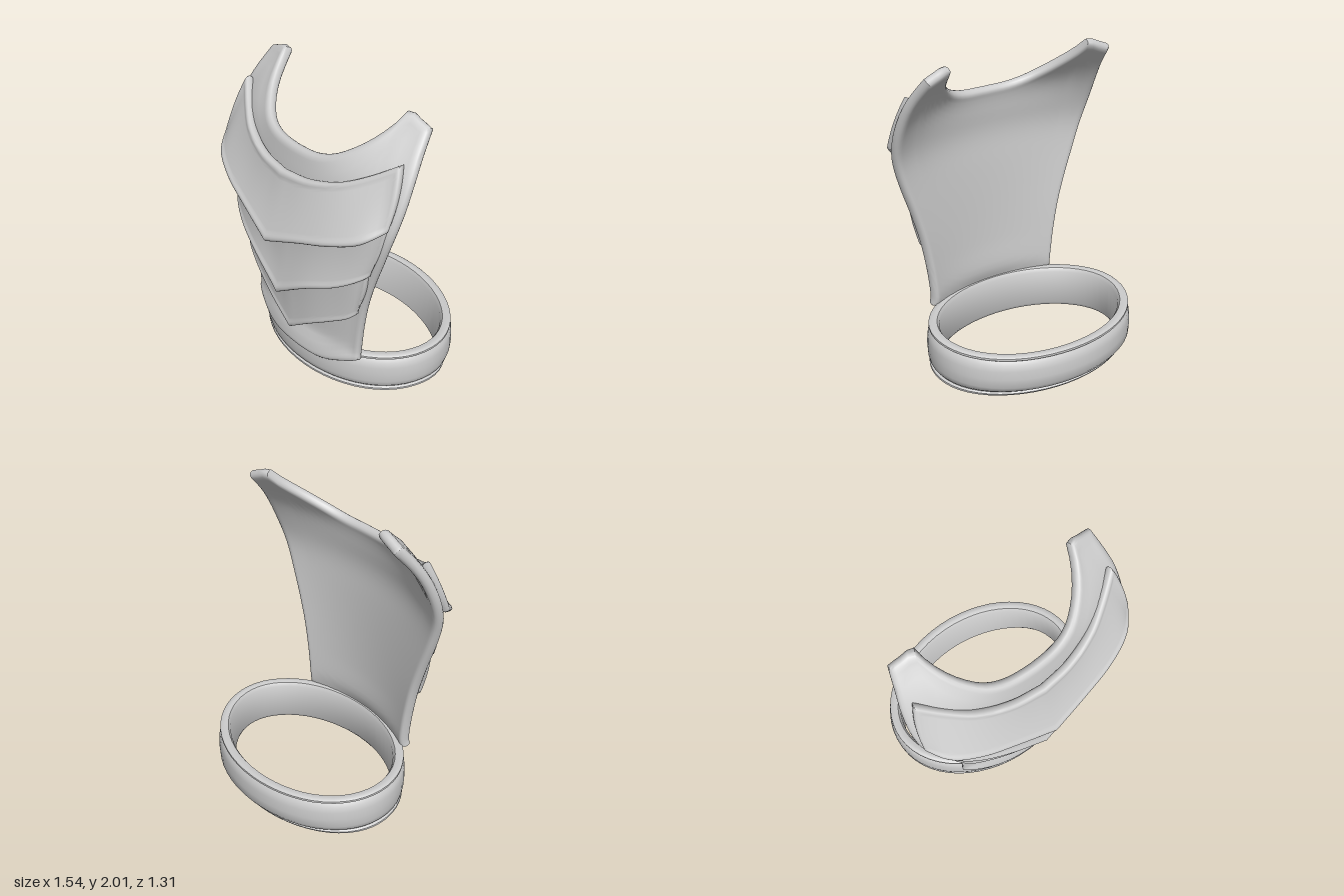
import * as THREE from 'three';
import { mergeVertices, toCreasedNormals } from 'three/addons/utils/BufferGeometryUtils.js';

const material = new THREE.MeshStandardMaterial({ color: 0xcccccc, side: THREE.DoubleSide });

// Smooth lookup in a list of [key, value] pairs
function lookup(table, k) {
  const n = table.length - 1;
  k = Math.min(Math.max(k, table[0][0]), table[n][0]);
  let i = 0;
  while (i < n - 1 && k > table[i + 1][0]) i++;
  const slope = (j) => {
    const a = table[Math.max(j - 1, 0)], b = table[Math.min(j + 1, n)];
    return (b[1] - a[1]) / (b[0] - a[0]);
  };
  const [x0, y0] = table[i], [x1, y1] = table[i + 1];
  const h = x1 - x0, t = (k - x0) / h, t2 = t * t, t3 = t2 * t;
  return y0 * (2 * t3 - 3 * t2 + 1) + y1 * (3 * t2 - 2 * t3)
    + slope(i) * h * (t3 - 2 * t2 + t) + slope(i + 1) * h * (t3 - t2);
}

function finish(name, positions, index, crease) {
  let geometry = new THREE.BufferGeometry();
  geometry.setAttribute('position', new THREE.Float32BufferAttribute(positions, 3));
  geometry.setIndex(index);
  geometry = toCreasedNormals(mergeVertices(geometry, 1e-5), crease);
  const mesh = new THREE.Mesh(geometry, material);
  mesh.name = name;
  return mesh;
}

// Values from 0 to 1, crowded at both ends so the rim can be rounded
function samples(count, rim) {
  const ends = [0, 0.05, 0.2, 0.5, 1, 1.4].map((e) => e * rim);
  const list = [...ends];
  for (let i = 0; i <= count; i++) list.push(2 * rim + (1 - 4 * rim) * i / count);
  return [...list, ...ends.reverse().map((e) => 1 - e)];
}

// Thick curved sheet with rounded rims and a raised front lip around a middle surface at(u, v),
// u in -1..1, v in 0..1
function shell(name, at, width, height, thickness, lip) {
  const r = thickness * 0.5;
  const us = samples(32, r / width).map((u) => u * 2 - 1);
  const vs = samples(32, r / height);
  const positions = [], index = [], nu = us.length, nv = vs.length, e = 0.004;
  for (const side of [1, -1]) {
    const start = positions.length / 3;
    for (const v of vs) for (const u of us) {
      const du = at(Math.min(u + e, 1), v).sub(at(Math.max(u - e, -1), v));
      const dv = at(u, Math.min(v + e, 1)).sub(at(u, Math.max(v - e, 0)));
      const normal = du.cross(dv).normalize();
      const edge = Math.min((1 - Math.abs(u)) * width / 2, v * height, (1 - v) * height);
      const k = 1 - Math.min(edge / r, 1);
      const inner = side > 0 ? lip * THREE.MathUtils.smoothstep(edge, r, 2 * r) : 0;
      const p = at(u, v).addScaledVector(normal, side * (r * Math.sqrt(Math.max(0, 1 - k ** 3)) - inner));
      positions.push(p.x, p.y, p.z);
    }
    for (let j = 0; j < nv - 1; j++) for (let i = 0; i < nu - 1; i++) {
      const a = start + j * nu + i, b = a + 1, c = a + nu, d = c + 1;
      if (side > 0) index.push(a, b, d, a, d, c);
      else index.push(a, d, b, a, c, d);
    }
  }
  return finish(name, positions, index, 0.9);
}

// Main breastplate: half width, edge depth and bulge by height; hem and neckline by |u|
const halfWidth = [[0.2, 0.48], [0.3, 0.498], [0.36, 0.493], [0.45, 0.5], [0.6, 0.52], [0.8, 0.56], [1, 0.62],
  [1.2, 0.69], [1.4, 0.748], [1.55, 0.765], [1.7, 0.755], [1.8, 0.735], [1.95, 0.69], [2, 0.67]];
const edgeZ = [[0.2, 0.318], [0.3, 0.313], [0.38, 0.302], [1.2, 0.302], [1.4, 0.282], [1.6, 0.208], [1.8, 0.095],
  [1.95, -0.03], [2, -0.072]];
const bulge = [[0.2, 0.117], [0.32, 0.115], [0.4, 0.092], [0.6, 0.1], [1.2, 0.118], [1.5, 0.162], [1.7, 0.213],
  [1.83, 0.19], [1.95, 0.17], [2, 0.175]];
const hem = [[0, 0.215], [0.5, 0.22], [0.85, 0.28], [1, 0.315]];
const neckline = [[0, 1.705], [0.22, 1.712], [0.38, 1.743], [0.52, 1.803], [0.63, 1.867], [0.72, 1.935],
  [0.79, 2.004], [0.9, 1.98], [1, 1.95]];

function breastplatePoint(u, v) {
  const s = Math.abs(u);
  const y = THREE.MathUtils.lerp(lookup(hem, s), lookup(neckline, s), v);
  return new THREE.Vector3(u * lookup(halfWidth, y), y, lookup(edgeZ, y) + lookup(bulge, y) * (1 - s * s));
}

// Overlapping chevron plate between an upper and a lower edge, given from the middle to one side;
// hollow pulls its middle inward
function chevronPlate(name, upper, lower, width, height, hollow) {
  const [top, bottom] = [upper, lower].map((pts) =>
    new THREE.CatmullRomCurve3(pts.map((p) => new THREE.Vector3(...p))));
  const at = (u, v) => {
    const s = Math.abs(u), arch = 4 * v * (1 - v);
    const p = bottom.getPoint(s).lerp(top.getPoint(s), v);
    p.x += 0.022 * arch * s ** 6;
    p.z -= hollow * arch * (1 - s);
    p.x *= Math.sign(u);
    return p;
  };
  return shell(name, at, width, height, 0.058, 0.006);
}

// Belt: a lipped band section swept around an oval, dropping a little at the back
function belt() {
  const section = [[-0.082, 0.06], [-0.08, 0.3], [-0.065, 0.325], [-0.045, 0.33], [-0.02, 0.33], [-0.01, 0.322],
    [-0.01, 0.308], [-0.024, 0.298], [-0.007, 0.275], [0, 0.235], [0.003, 0.18], [0, 0.12], [-0.007, 0.085],
    [-0.024, 0.064], [-0.008, 0.056], [-0.008, 0.042], [-0.02, 0.034], [-0.065, 0.034]];
  const positions = [], index = [], n = section.length, turns = 56;
  for (let i = 0; i < turns; i++) {
    const a = i / turns * Math.PI * 2;
    for (const [o, y] of section) {
      const z = -0.107 + (0.548 + o) * Math.cos(a);
      const back = THREE.MathUtils.smoothstep(-z, -0.05, 0.6);
      positions.push((0.73 + o) * Math.sin(a), y - 0.03 * back, z + back * 0.7 * Math.max(0, 0.11 - y));
    }
    for (let j = 0; j < n; j++) {
      const k = (j + 1) % n, p = i * n, q = ((i + 1) % turns) * n;
      index.push(p + j, q + k, p + k, p + j, q + j, q + k);
    }
  }
  return finish('belt', positions, index, 0.7);
}

export function createModel() {
  const group = new THREE.Group();
  group.name = 'chestArmor';
  group.add(
    shell('breastplate', breastplatePoint, 1.35, 1.55, 0.068, 0.004),
    chevronPlate('upperChevronPlate',
      [[0, 1.575, 0.475], [0.2, 1.59, 0.452], [0.4, 1.64, 0.385], [0.55, 1.715, 0.29], [0.69, 1.81, 0.185]],
      [[0, 1.125, 0.63], [0.25, 1.225, 0.586], [0.48, 1.305, 0.535], [0.65, 1.375, 0.455], [0.735, 1.455, 0.33]],
      1.6, 0.45, 0.015),
    chevronPlate('middleChevronPlate',
      [[0, 1.28, 0.515], [0.25, 1.31, 0.485], [0.45, 1.36, 0.43], [0.6, 1.41, 0.375], [0.715, 1.46, 0.3]],
      [[0, 0.695, 0.56], [0.25, 0.855, 0.525], [0.45, 0.955, 0.465], [0.56, 1.035, 0.405], [0.608, 1.1, 0.35]],
      1.5, 0.5, 0.03),
    chevronPlate('lowerChevronPlate',
      [[0, 0.85, 0.49], [0.2, 0.9, 0.47], [0.38, 0.97, 0.43], [0.52, 1.04, 0.39], [0.603, 1.1, 0.345]],
      [[0, 0.355, 0.462], [0.2, 0.505, 0.45], [0.36, 0.612, 0.42], [0.47, 0.69, 0.385], [0.518, 0.765, 0.355]],
      1.2, 0.45, 0.01),
    belt(),
  );
  // Rest the model on the ground
  const box = new THREE.Box3().setFromObject(group);
  group.children.forEach((mesh) => mesh.geometry.translate(0, -box.min.y, 0));
  return group;
}
